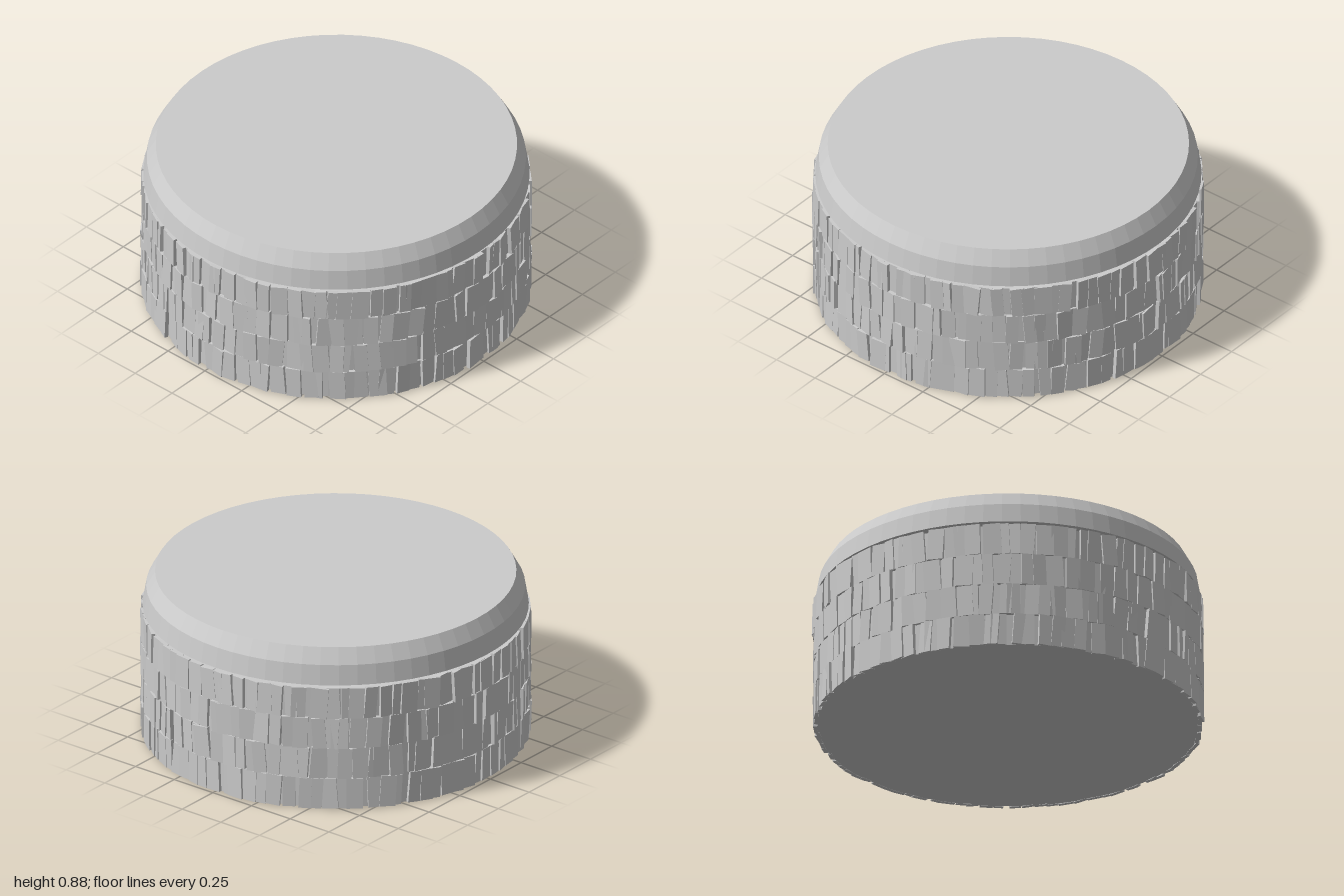
import * as THREE from 'three';
import { mergeGeometries } from 'three/addons/utils/BufferGeometryUtils.js';

const ROWS = 4, STRIPS = 88, BASE = 0.008, ROW_H = 0.168;

// small seeded generator giving values in 0..1
function makeRandom(seed) {
  return () => {
    seed = (seed * 1664525 + 1013904223) % 4294967296;
    return seed / 4294967296;
  };
}

export function createModel() {
  const group = new THREE.Group();
  const material = new THREE.MeshStandardMaterial({ color: 0xcccccc, flatShading: true });
  const add = (name, geometry) => {
    const mesh = new THREE.Mesh(geometry, material);
    mesh.name = name;
    group.add(mesh);
  };
  const random = makeRandom(7);
  const vary = (amount) => (random() * 2 - 1) * amount;

  // Solid drum behind the strips
  const core = new THREE.CylinderGeometry(0.968, 0.968, 0.665, 64);
  core.translate(0, 0.3425, 0);
  add('core', core);

  // Rings of slightly tilted, twisted and overlapping strips
  for (let row = 0; row < ROWS; row++) {
    const strips = [];
    for (let i = 0; i < STRIPS; i++) {
      const strip = new THREE.BoxGeometry(0.075 + vary(0.018), ROW_H, 0.02);
      strip.rotateZ(vary(0.09));
      strip.rotateY(vary(0.2));
      strip.rotateX(vary(0.03));
      strip.translate(0, BASE + ROW_H * (row + 0.5), 0.974 + vary(0.005));
      strip.rotateY(((i + vary(0.35)) / STRIPS) * Math.PI * 2);
      strips.push(strip);
    }
    add(`stripRing${row + 1}`, mergeGeometries(strips));
  }

  // Closed cap with a two-step bevel, floating just above the drum
  const profile = [[0, 0.695], [0.978, 0.695], [0.96, 0.8], [0.915, 0.88], [0, 0.88]]
    .map(([r, y]) => new THREE.Vector2(r, y));
  add('cap', new THREE.LatheGeometry(profile, 64));

  return group;
}
